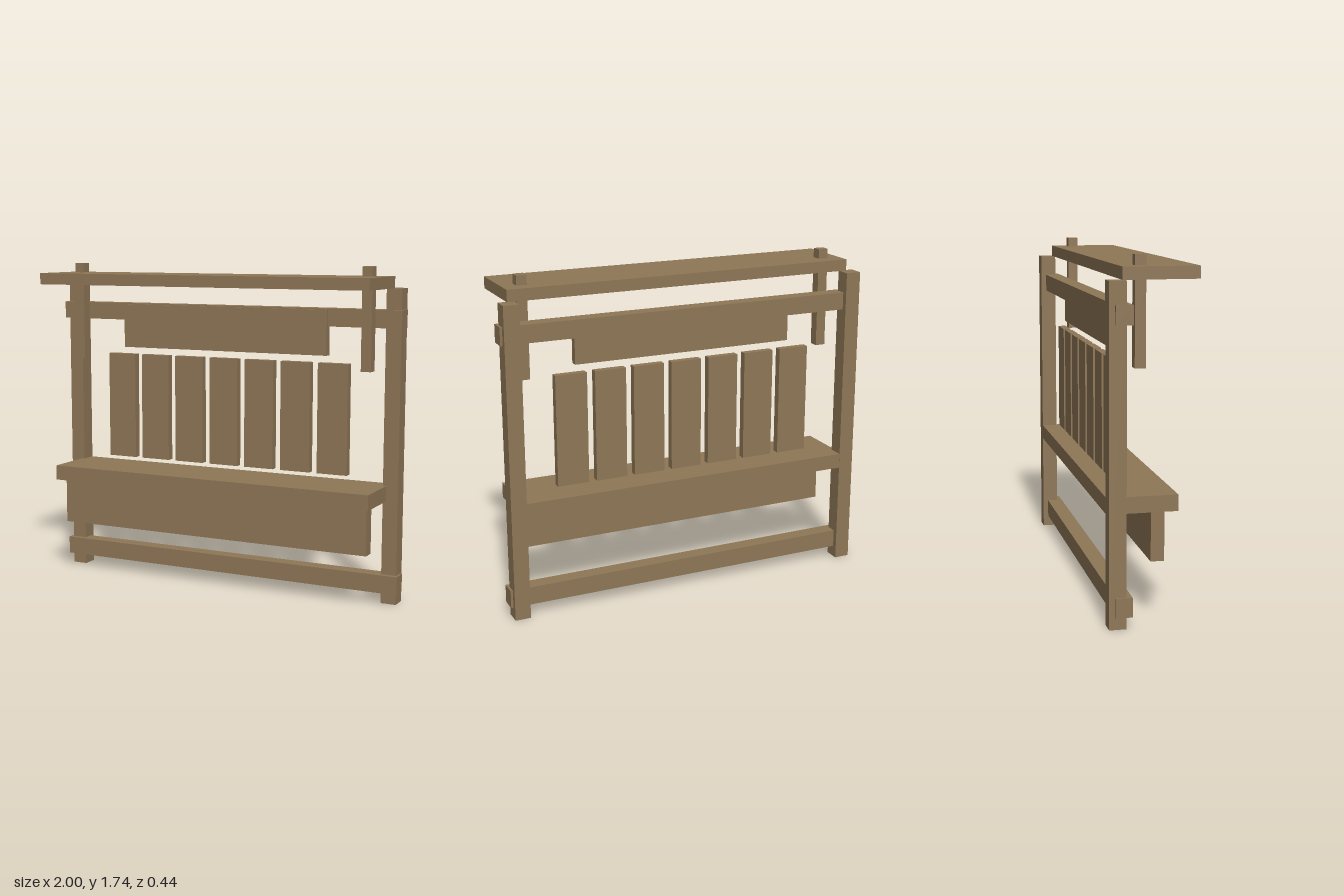
import * as THREE from 'three';

export function createModel() {
  const group = new THREE.Group();
  const wood = new THREE.MeshStandardMaterial({ color: 0x8f7757 });
  wood.name = 'wood';

  // Board given by its extents along each axis
  function board(name, [x0, x1], [y0, y1], [z0, z1]) {
    const mesh = new THREE.Mesh(new THREE.BoxGeometry(x1 - x0, y1 - y0, z1 - z0), wood);
    mesh.position.set((x0 + x1) / 2, (y0 + y1) / 2, (z0 + z1) / 2);
    mesh.name = name;
    group.add(mesh);
  }
  const span = (half) => [-half, half];

  // Uprights and the pegs through the top shelf
  for (const [side, s] of [['left', 1], ['right', -1]]) {
    const mirror = (a, b) => (s > 0 ? [a, b] : [-b, -a]);
    board(side + 'Post', mirror(0.906, 0.988), [0, 1.63], [-0.218, -0.135]);
    board(side + 'Peg', mirror(0.818, 0.872), [1.215, 1.74], [-0.072, -0.019]);
  }

  // Cross rails
  board('lowerRail', span(1), [0.06, 0.155], [-0.19, -0.107]);
  board('upperRail', span(1), [1.43, 1.522], [-0.19, -0.107]);

  // Seat with its apron
  board('seat', span(0.923), [0.54, 0.62], [-0.217, 0.129]);
  board('apron', span(0.896), [0.293, 0.54], [0.003, 0.069]);

  // Back slats and head board
  for (let i = -3; i <= 3; i++) {
    const x = i * 0.2105;
    board('backSlat', [x - 0.084, x + 0.084], [0.66, 1.24], [-0.151, -0.111]);
  }
  board('headBoard', span(0.602), [1.28, 1.516], [-0.132, -0.092]);

  // Top shelf
  board('topShelf', span(0.945), [1.63, 1.69], [-0.147, 0.218]);

  return group;
}
